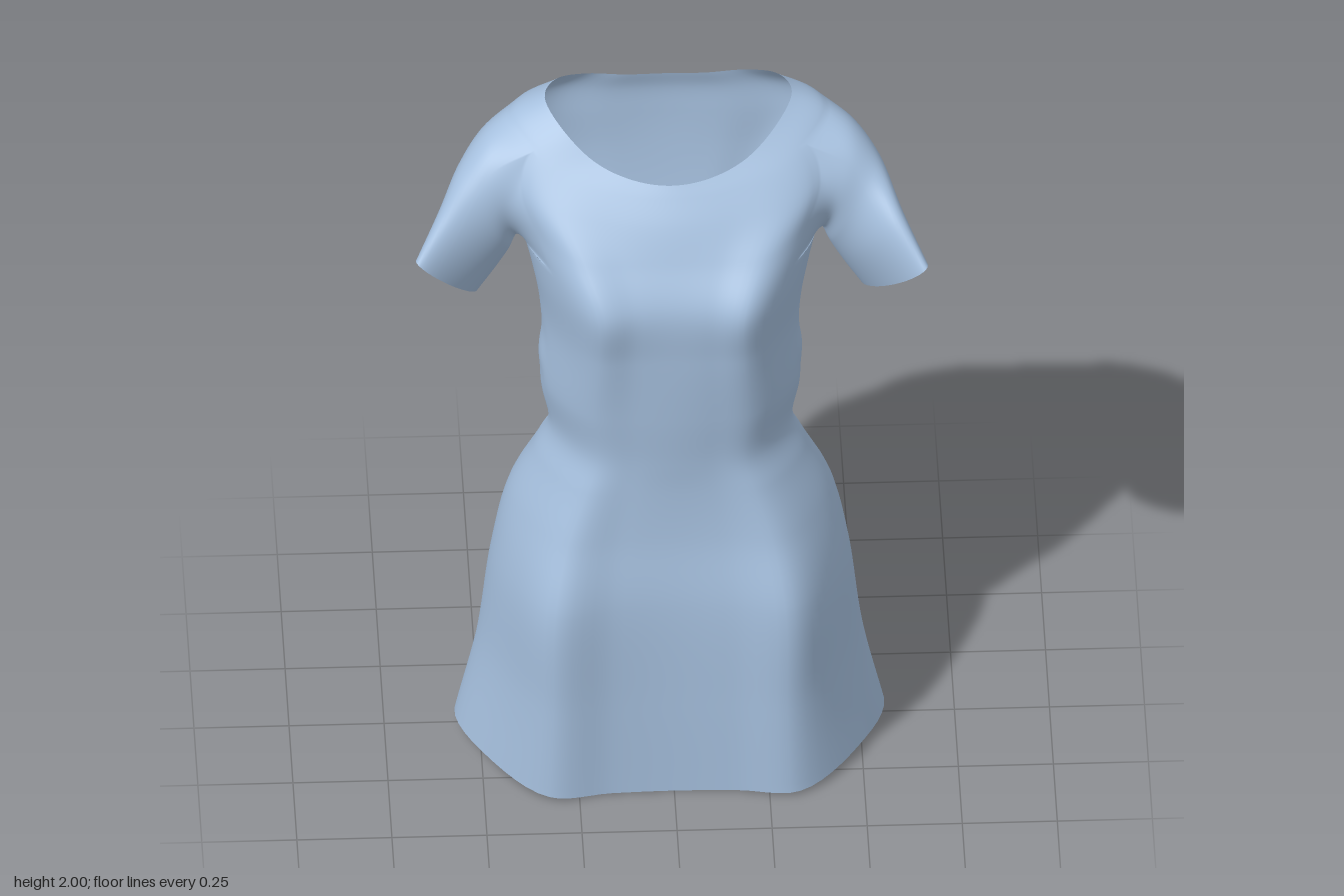
import * as THREE from 'three';

const V = (x, y, z) => new THREE.Vector3(x, y, z);
const AROUND = 96, ROWS = 120;
// Armhole patch in the body grid: rows up the body, columns round the left side
const HOLE = { low: 85, high: 111, front: 17, back: 31 };
const mirrorColumn = j => (AROUND - j) % AROUND;

// Body sections: side y, front y, back y, half width, front z, back z,
// front corner x and z, back corner x and z
const sections = [
  [0.04, 0.0, 0.05, 0.565, 0.325, -0.338, 0.33, 0.355, 0.2, -0.368],
  [0.3, 0.28, 0.3, 0.508, 0.328, -0.325, 0.32, 0.36, 0.2, -0.355],
  [0.6, 0.6, 0.6, 0.47, 0.325, -0.302, 0.315, 0.365, 0.2, -0.335],
  [0.8, 0.8, 0.8, 0.427, 0.302, -0.235, 0.28, 0.312, 0.2, -0.258],
  [0.95, 0.95, 0.95, 0.36, 0.297, -0.158, 0.23, 0.285, 0.2, -0.163],
  [1.05, 1.05, 1.05, 0.322, 0.302, -0.13, 0.2, 0.275, 0.17, -0.125],
  [1.2, 1.2, 1.2, 0.345, 0.315, -0.15, 0.21, 0.288, 0.19, -0.148],
  [1.4, 1.4, 1.4, 0.34, 0.325, -0.188, 0.2, 0.32, 0.2, -0.186],
  [1.56, 1.56, 1.56, 0.365, 0.325, -0.218, 0.2, 0.343, 0.23, -0.213],
  [1.7, 1.68, 1.7, 0.405, 0.268, -0.234, 0.25, 0.262, 0.28, -0.225],
  [1.84, 1.77, 1.81, 0.445, 0.22, -0.24, 0.3, 0.17, 0.31, -0.222],
  [1.94, 1.83, 1.89, 0.425, 0.178, -0.239, 0.27, 0.118, 0.29, -0.222],
  [2.0, 1.86, 1.945, 0.325, 0.155, -0.225, 0.2, 0.095, 0.21, -0.212],
];

// Sleeve ellipses: top point, bottom point and half thickness.
const sleeveSpans = cuffZ => [
  [V(0.487, 1.905, -0.02), V(0.4, 1.592, -0.055), V(-0.01, -0.005, 0.133)],
  [V(0.55, 1.83, 0.035), V(0.425, 1.545, -0.05), V(-0.022, -0.01, 0.105)],
  [V(0.605, 1.73, cuffZ * 0.62), V(0.46, 1.485, -0.04), V(-0.025, -0.015, 0.066)],
  [V(0.667, 1.62, cuffZ), V(0.51, 1.413, -0.025), V(-0.028, -0.022, 0.028)],
];

// Smoothly refine control rings along their length.
function refine(rings, steps) {
  const columns = rings[0].map((_, j) =>
    new THREE.CatmullRomCurve3(rings.map(r => r[j])));
  return Array.from({ length: steps + 1 }, (_, i) => columns.map(c => c.getPoint(i / steps)));
}

// One closed outline, mirrored across x, from front centre round by the left side.
function bodyRing([ys, yf, yb, w, zf, zb, cx, cz, bx, bz]) {
  const zs = (cz + bz) / 2, mix = THREE.MathUtils.lerp, bulge = 1.05;
  const half = [
    V(cx * 0.5, mix(yf, ys, 0.06), mix(zf, cz, 0.27)),
    V(cx, mix(yf, ys, 0.28), cz),
    V(mix(cx, w, 0.58) * bulge, mix(yf, ys, 0.74), mix(cz, zs, 0.46)),
    V(w, ys, zs),
    V(mix(bx, w, 0.6) * bulge, mix(yb, ys, 0.86), mix(bz, zs, 0.42)),
    V(bx, mix(yb, ys, 0.28), bz),
    V(bx * 0.5, mix(yb, ys, 0.05), mix(zb, bz, 0.4)),
  ];
  const mirrored = half.map(p => V(-p.x, p.y, p.z)).reverse();
  const curve = new THREE.CatmullRomCurve3([V(0, yf, zf), ...half, V(0, yb, zb), ...mirrored], true);
  return Array.from({ length: AROUND }, (_, i) => curve.getPoint(i / AROUND));
}

// Soft diagonal drape folds around the back and sides of the waist.
function addFolds(p) {
  const x = Math.abs(p.x);
  const band = Math.exp(-(((p.y - 1.24) / 0.14) ** 2)) * Math.min(1, x * 5);
  const fold = 0.004 * band * Math.sin(p.y * 42 - x * 24);
  if (p.z < 0.12) {
    p.z -= fold * Math.min(1, (0.12 - p.z) * 6);
    p.x += fold * p.x * 2;
  }
}

// Grid cells round the armhole: from the top centre down the front and up the back.
function armholeCells() {
  const { low, high, front, back } = HOLE, mid = (front + back) / 2, cells = [];
  for (let j = mid; j > front; j--) cells.push([high, j]);
  for (let i = high; i > low; i--) cells.push([i, front]);
  for (let j = front; j < back; j++) cells.push([low, j]);
  for (let i = low; i < high; i++) cells.push([i, back]);
  for (let j = back; j > mid; j--) cells.push([high, j]);
  return cells;
}

export function createModel() {
  const points = [], index = [];
  const addRing = ring => ring.map(p => points.push(p) - 1);

  // Join two rings of point numbers with quads, leaving out any that are skipped
  function bridge(lower, upper, flip, skip = () => false) {
    lower.forEach((a, j) => {
      if (skip(j)) return;
      const next = (j + 1) % lower.length, b = lower[next], c = upper[j], d = upper[next];
      index.push(...(flip ? [b, a, c, d, b, c] : [a, b, c, b, d, c]));
    });
  }

  // Skirt, bodice and neckline, with an opening at each shoulder
  const body = refine(sections.map(bodyRing), ROWS);
  body.flat().forEach(addFolds);
  const rows = body.map(addRing);
  const inHole = j => j >= HOLE.front && j < HOLE.back;
  for (let i = 0; i < ROWS; i++) {
    const open = i >= HOLE.low && i < HOLE.high;
    bridge(rows[i], rows[i + 1], false, j => open && (inHole(j) || inHole(AROUND - 1 - j)));
  }

  // Short sleeves grown out of the armholes; the left one swings further forward
  const cells = armholeCells();
  const midRow = (HOLE.low + HOLE.high) / 2, midColumn = (HOLE.front + HOLE.back) / 2;
  for (const [side, cuffZ] of [[1, 0.228], [-1, 0.155]]) {
    const column = j => (side > 0 ? j : mirrorColumn(j));
    const controls = sleeveSpans(cuffZ).map(([top, bottom, thick]) => {
      const centre = top.clone().add(bottom).multiplyScalar(0.5);
      const up = top.clone().sub(centre);
      return cells.map(([i, j]) => {
        const t = Math.atan2((midColumn - j) / (midColumn - HOLE.front), (i - midRow) / (HOLE.high - midRow));
        const p = centre.clone().addScaledVector(up, Math.cos(t)).addScaledVector(thick, Math.sin(t));
        return V(p.x * side, p.y, p.z);
      });
    });
    const rings = refine([cells.map(([i, j]) => body[i][column(j)]), ...controls], 32);
    let previous = cells.map(([i, j]) => rows[i][column(j)]);
    for (const ring of rings.slice(1)) {
      const current = addRing(ring);
      bridge(previous, current, side < 0);
      previous = current;
    }
  }

  const geometry = new THREE.BufferGeometry().setFromPoints(points);
  geometry.setIndex(index);
  geometry.computeVertexNormals();
  const fabric = new THREE.MeshStandardMaterial({ color: 0xa5bfdd, side: THREE.DoubleSide });
  const cloth = new THREE.Mesh(geometry, fabric);
  cloth.name = 'dressCloth';
  const dress = new THREE.Group();
  dress.name = 'dress';
  dress.add(cloth);
  return dress;
}
